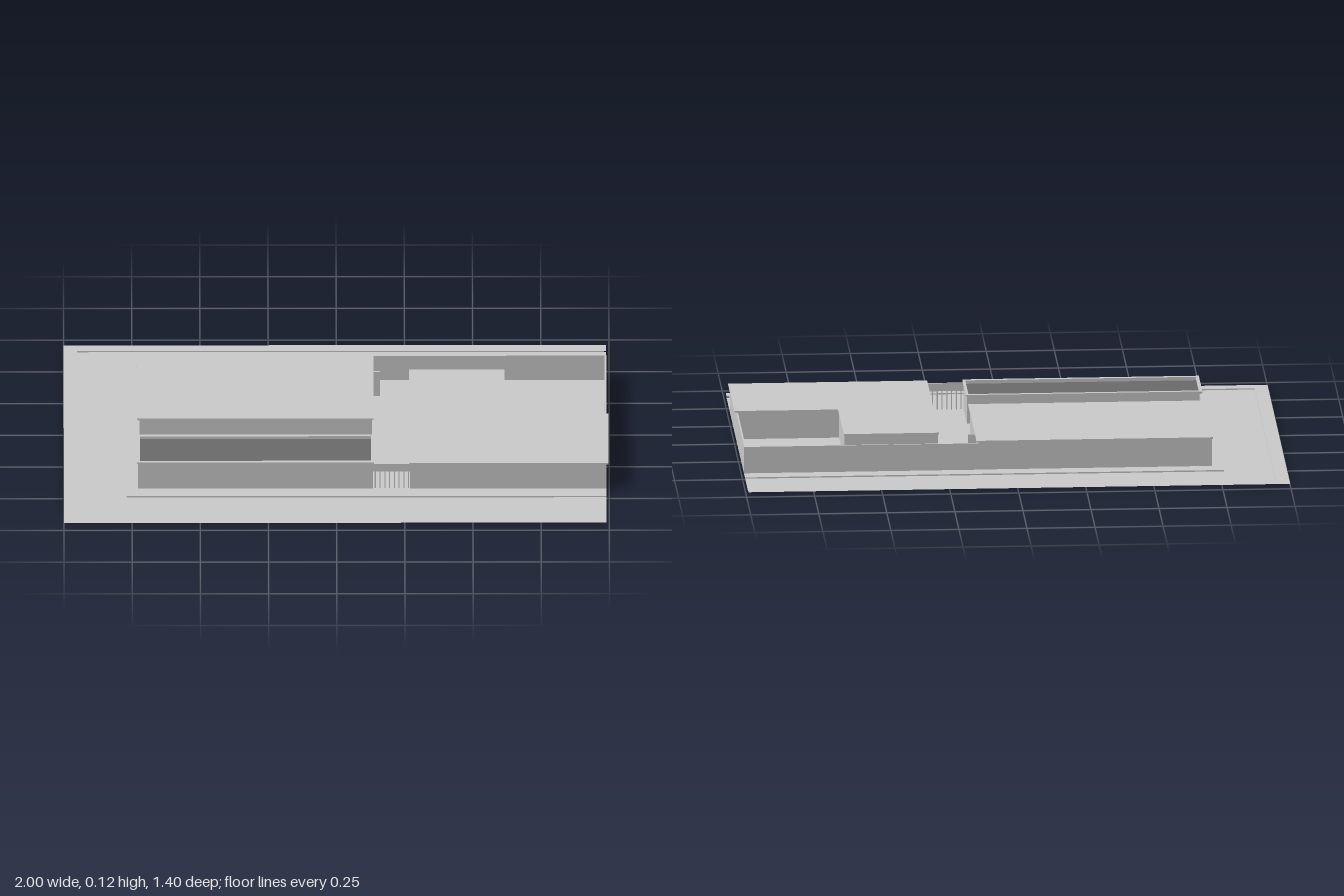
import * as THREE from 'three';

const grey = new THREE.MeshStandardMaterial({ color: 0xcccccc, side: THREE.DoubleSide, flatShading: true });
const dark = new THREE.MeshStandardMaterial({ color: 0x6b6b6b, side: THREE.DoubleSide, flatShading: true });

const rect = (x0, x1, z0, z1) => [[x0, z0], [x1, z0], [x1, z1], [x0, z1]];

function outline(points, holes = []) {
  const toVec = ([a, b]) => new THREE.Vector2(a, b);
  const shape = new THREE.Shape(points.map(toVec));
  shape.holes = holes.map(h => new THREE.Path(h.map(toVec)));
  return shape;
}

export function createModel() {
  const model = new THREE.Group();

  function add(parent, name, geometry, material = grey) {
    const mesh = new THREE.Mesh(geometry, material);
    mesh.name = name;
    parent.add(mesh);
    return mesh;
  }
  function group(name) {
    const g = new THREE.Group();
    g.name = name;
    model.add(g);
    return g;
  }
  function box(parent, name, x0, x1, y0, y1, z0, z1) {
    const g = new THREE.BoxGeometry(x1 - x0, y1 - y0, z1 - z0);
    add(parent, name, g.translate((x0 + x1) / 2, (y0 + y1) / 2, (z0 + z1) / 2));
  }
  // Horizontal plate from an x/z outline; zero height gives a flat sheet
  function plate(parent, name, points, y, height, holes = [], material = grey) {
    const flip = list => list.map(([x, z]) => [x, -z]);
    const shape = outline(flip(points), holes.map(flip));
    const g = height > 0
      ? new THREE.ExtrudeGeometry(shape, { depth: height, bevelEnabled: false })
      : new THREE.ShapeGeometry(shape);
    add(parent, name, g.rotateX(-Math.PI / 2).translate(0, y, 0), material);
  }
  // Axis-aligned walls along a path of x/z points
  function walls(parent, name, points, y0, y1, t = 0.006) {
    for (let i = 0; i + 1 < points.length; i++) {
      const [ax, az] = points[i], [bx, bz] = points[i + 1];
      box(parent, name, Math.min(ax, bx) - t / 2, Math.max(ax, bx) + t / 2, y0, y1,
        Math.min(az, bz) - t / 2, Math.max(az, bz) + t / 2);
    }
  }
  // Wall in the z/y plane with rectangular openings
  function sideWall(parent, name, x, z0, z1, y0, y1, openings) {
    const shape = outline(rect(z0, z1, y0, y1), openings);
    const g = new THREE.ExtrudeGeometry(shape, { depth: 0.008, bevelEnabled: false });
    add(parent, name, g.rotateY(-Math.PI / 2).translate(x, 0, 0));
  }

  const P = 0.005; // pavement level
  const band = (x0, x1, z0, z1, end) => [[end, z0], [x0, z0], [x0, -z0], [end, -z0],
    [end, -z1], [x1, -z1], [x1, z1], [end, z1]];

  // Site: outer verge, sunken road with kerb, raised pavement
  const site = group('site');
  plate(site, 'verge', band(-1, -0.95, 0.7, 0.655, 0.99), P, 0);
  plate(site, 'road', band(-0.95, -0.77, 0.655, 0.49, 0.99), 0, 0);
  walls(site, 'kerb', [[0.98, 0.656], [-0.951, 0.656], [-0.951, -0.656], [0.98, -0.656]], 0, P - 0.0005, 0.002);
  const wingHole = [[0.273, 0.427], [0.985, 0.427], [0.985, 0.053], [0.607, 0.053], [0.607, -0.297], [0.273, -0.297]];
  plate(site, 'pavement', rect(-0.77, 0.99, -0.49, 0.49), 0, P,
    [wingHole, rect(-0.72, 0.125, 0.23, 0.42), rect(-0.42, -0.16, -0.32, -0.05)]);
  plate(site, 'innerFloorPanel', rect(-0.41, -0.17, -0.31, -0.06), 0.012, 0);

  // Main hall with window slits on one side and a doorway on the other
  const hall = group('mainHall');
  box(hall, 'hallBackWall', -0.728, 0.13, P, 0.11, -0.43, -0.422);
  box(hall, 'hallFrontWall', -0.728, 0.13, P, 0.11, 0.074, 0.082);
  const slits = [rect(-0.417, -0.395, 0.012, 0.07)];
  for (let i = 0; i < 6; i++) slits.push(rect(-0.31 + i * 0.07, -0.298 + i * 0.07, 0.03, 0.08));
  sideWall(hall, 'windowWall', -0.72, -0.422, 0.074, P, 0.11, slits);
  sideWall(hall, 'doorWall', 0.13, -0.422, 0.074, P, 0.11, [rect(-0.41, -0.31, 0.008, 0.078)]);
  for (const z of [-0.385, -0.36, -0.335]) box(hall, 'doorPost', 0.123, 0.129, P, 0.078, z - 0.003, z + 0.003);
  box(hall, 'doorScreen', 0.13, 0.16, P, 0.105, -0.305, -0.3);
  plate(hall, 'hallRoof', rect(-0.732, 0.136, -0.434, 0.086), 0.109, 0.006);

  // Long front block with a sunken dark roof behind a parapet
  const strip = group('frontBlock');
  walls(strip, 'blockWall', [[-0.725, 0.22], [0.13, 0.22], [0.13, 0.427], [-0.725, 0.427], [-0.725, 0.22]], 0, 0.11);
  plate(strip, 'parapetCap', rect(-0.732, 0.137, 0.213, 0.435), 0.109, 0.006, [rect(-0.72, 0.127, 0.227, 0.42)]);
  plate(strip, 'sunkenRoof', rect(-0.722, 0.127, 0.223, 0.424), 0.101, 0, [], dark);

  // L-shaped wing
  const wing = group('wing');
  walls(wing, 'wingWall', [[0.273, 0.427], [0.987, 0.427], [0.987, 0.053], [0.61, 0.053],
    [0.61, -0.297], [0.273, -0.297], [0.273, 0.427]], 0, 0.108);
  plate(wing, 'wingRoof', [[0.266, 0.434], [0.997, 0.434], [0.997, 0.046], [0.616, 0.046],
    [0.616, -0.303], [0.266, -0.303]], 0.107, 0.006);

  // Walled yard behind the wing
  const yard = group('yard');
  walls(yard, 'yardWall', [[0.13, -0.429], [0.987, -0.429], [0.987, 0.05]], 0, 0.105);

  // Barred gates closing the passages
  const gates = group('gates');
  box(gates, 'frontGateBeam', 0.133, 0.27, 0.075, 0.105, 0.422, 0.428);
  for (let i = 0; i < 8; i++) {
    const x = 0.142 + i * 0.0175;
    box(gates, 'frontGateBar', x - 0.002, x + 0.002, P, 0.075, 0.423, 0.427);
  }
  box(gates, 'sideGateBeam', -0.728, -0.722, 0.075, 0.105, 0.082, 0.217);
  for (let i = 0; i < 7; i++) {
    const z = 0.096 + i * 0.018;
    box(gates, 'sideGateBar', -0.727, -0.723, P, 0.075, z - 0.002, z + 0.002);
  }
  return model;
}
